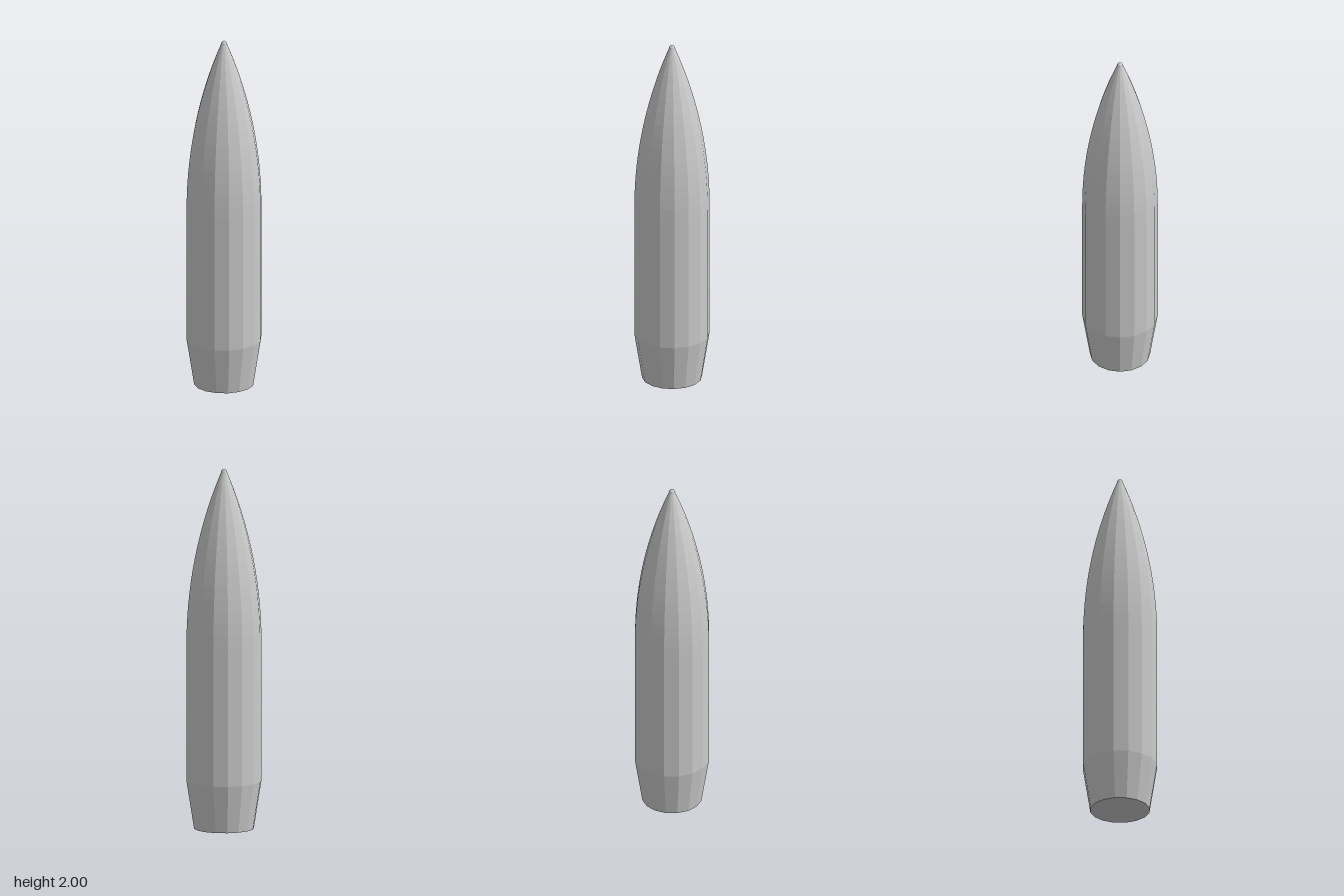
import * as THREE from 'three';

const SIDES = 16;
const RADIUS = 0.207;

export function createModel() {
  const group = new THREE.Group();
  group.name = 'projectile';
  const material = new THREE.MeshStandardMaterial({ color: 0xcccccc, flatShading: true });

  // Each part is a faceted surface of revolution around the y axis
  const addPart = (name, profile) => {
    const points = profile.map(([r, y]) => new THREE.Vector2(r, y));
    const mesh = new THREE.Mesh(new THREE.LatheGeometry(points, SIDES), material);
    mesh.name = name;
    group.add(mesh);
  };

  // Flat base and tapered tail
  addPart('taperedTail', [[0, 0], [0.165, 0], [RADIUS, 0.265]]);

  // Straight body
  addPart('body', [[RADIUS, 0.265], [RADIUS, 1.03]]);

  // Pointed nose: circular-arc curve, closed by a small rounded tip
  const start = 1.03, end = 1.98, virtualLength = 0.99;
  const arc = (RADIUS ** 2 + virtualLength ** 2) / (2 * RADIUS);
  const nose = [];
  for (let i = 0; i <= 14; i++) {
    const t = (end - start) * i / 14;
    nose.push([Math.sqrt(arc * arc - t * t) + RADIUS - arc, start + t]);
  }
  const tipRadius = nose[nose.length - 1][0];
  for (let i = 1; i <= 4; i++) {
    const a = (i / 4) * Math.PI / 2;
    nose.push([i === 4 ? 0 : tipRadius * Math.cos(a), end + (2 - end) * Math.sin(a)]);
  }
  addPart('nose', nose);

  return group;
}
